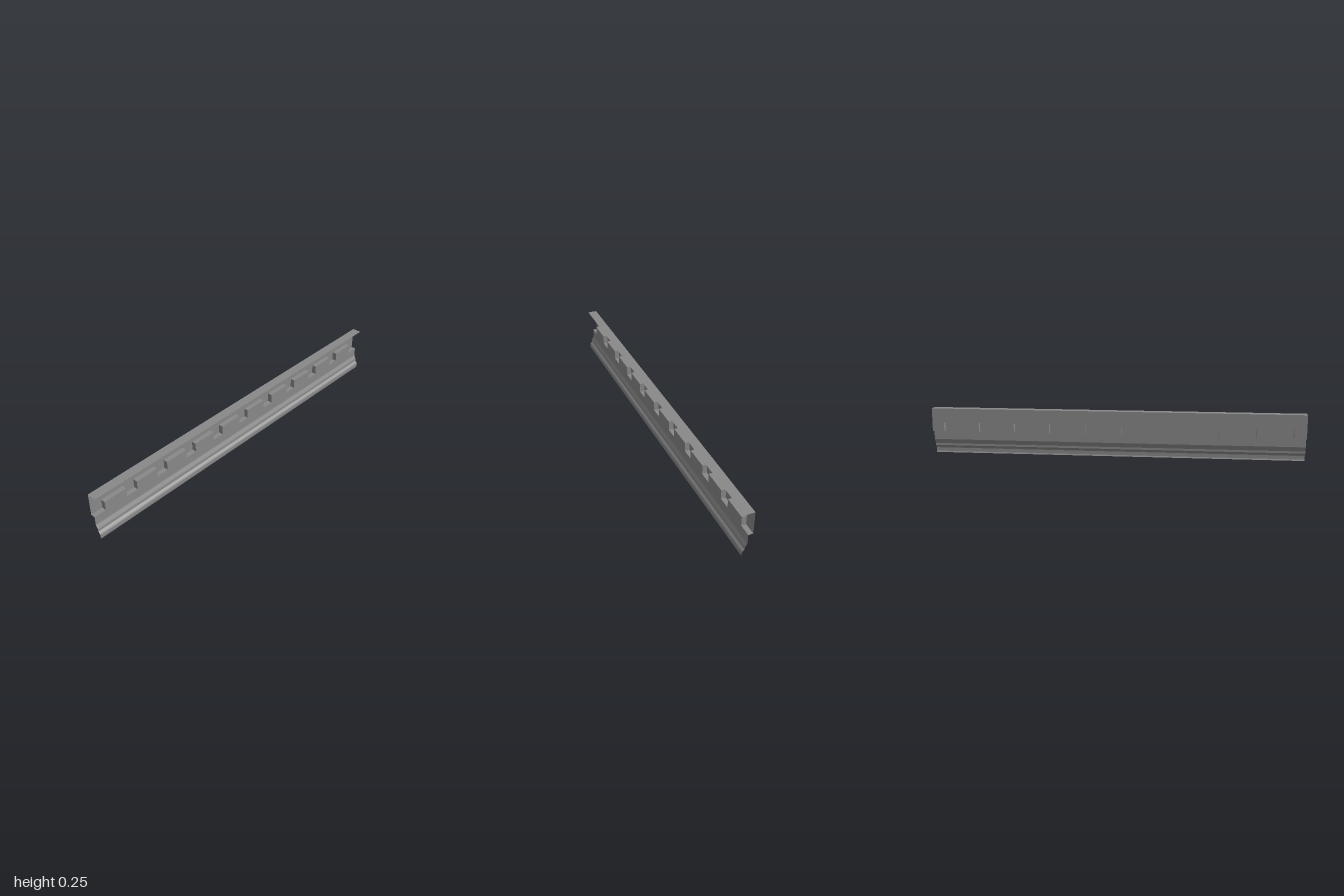
import * as THREE from 'three';

const BACK = -0.025, MID = 0, FRONT = 0.025;
const LOW = 0.126, HIGH = 0.176, TOP = 0.252;
const TABS = 10, GAP = 0.065;
const TAB = (2 - (TABS + 1) * GAP) / TABS;

// Dark grey sheet metal
const material = new THREE.MeshStandardMaterial({
  color: 0x888888, side: THREE.DoubleSide, flatShading: true,
});

// Sheet swept from one polyline to a matching one
function ribbon(name, a, b) {
  const pos = [];
  for (let i = 0; i < a.length - 1; i++) {
    for (const p of [a[i], b[i], b[i + 1], a[i], b[i + 1], a[i + 1]]) pos.push(...p);
  }
  const geo = new THREE.BufferGeometry();
  geo.setAttribute('position', new THREE.Float32BufferAttribute(pos, 3));
  geo.computeVertexNormals();
  const mesh = new THREE.Mesh(geo, material);
  mesh.name = name;
  return mesh;
}

// Flat wall between the stepped line and a straight edge at height y
function wall(name, steps, y, z) {
  const outline = [...steps, [1, y], [-1, y]].map(([px, py]) => new THREE.Vector2(px, py));
  const mesh = new THREE.Mesh(new THREE.ShapeGeometry(new THREE.Shape(outline)), material);
  mesh.name = name;
  mesh.position.z = z;
  return mesh;
}

export function createModel() {
  const group = new THREE.Group();
  group.name = 'steppedRail';

  // Stepped line where the sheet changes depth
  const steps = [[-1, LOW]];
  for (let i = 0; i < TABS; i++) {
    const x = -1 + GAP + i * (GAP + TAB);
    steps.push([x, LOW], [x, HIGH], [x + TAB, HIGH], [x + TAB, LOW]);
  }
  steps.push([1, LOW]);

  // Lower moulding, [z, y] from the tabbed wall down to the bottom lip
  const profile = [
    [MID, 0.078], [0.002, 0.073], [0.006, 0.066], [0.01, 0.059], [0.012, 0.053],
    [0.012, 0.042], [0.022, 0.032], [FRONT, 0.026], [FRONT, 0.007], [0.022, 0],
  ];

  group.add(
    wall('upperWall', steps, TOP, BACK),
    wall('tabbedWall', steps, profile[0][1], MID),
    ribbon('tabEdges', steps.map(([x, y]) => [x, y, MID]), steps.map(([x, y]) => [x, y, BACK])),
    ribbon('lowerMoulding', profile.map(([z, y]) => [-1, y, z]), profile.map(([z, y]) => [1, y, z])),
    ribbon('topFlange', [[-1, TOP, BACK], [-1, TOP, FRONT]], [[1, TOP, BACK], [1, TOP, FRONT]]),
  );
  return group;
}
